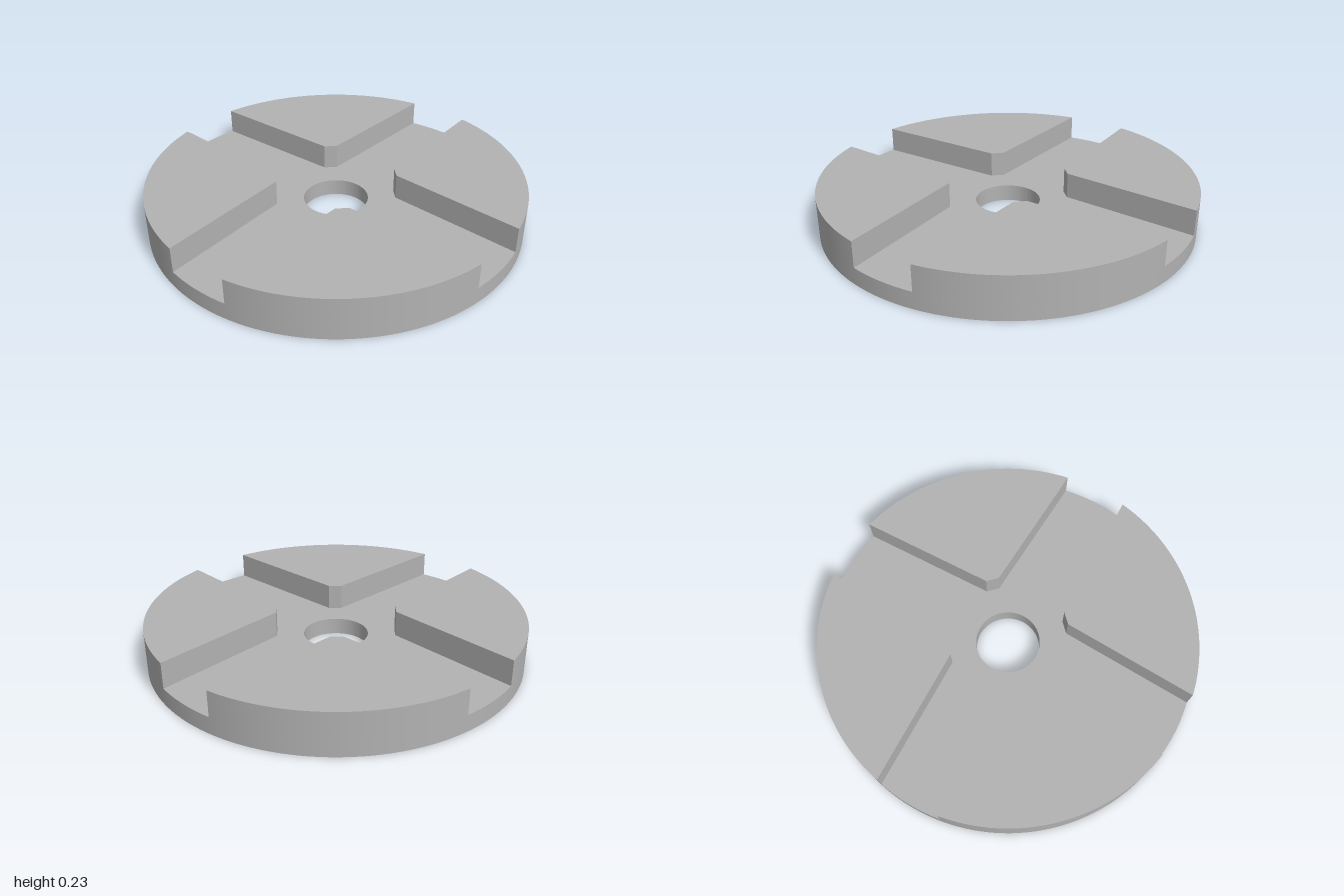
import * as THREE from 'three';
import { toCreasedNormals } from 'three/addons/utils/BufferGeometryUtils.js';

const RADIUS = 1;
const BASE_HEIGHT = 0.09;
const TOTAL_HEIGHT = 0.228;
const HOLE_RADIUS = 0.172;
const SLOT_HALF = 0.174; // half slot width at the rim

// Extrude a plan shape upwards, keeping curved walls smooth and edges sharp
function extrudeUp(shape, height, curveSegments) {
  const geometry = new THREE.ExtrudeGeometry(shape, { depth: height, bevelEnabled: false, curveSegments });
  geometry.rotateX(-Math.PI / 2);
  return toCreasedNormals(geometry, Math.PI / 6);
}

export function createModel() {
  const group = new THREE.Group();
  group.name = 'slottedDisc';
  const grey = new THREE.MeshStandardMaterial({ color: 0xb2b2b2 });
  grey.name = 'grey';

  // Round base plate with a central bore
  const plate = new THREE.Shape().absarc(0, 0, RADIUS, 0, Math.PI * 2, false);
  plate.holes.push(new THREE.Path().absarc(0, 0, HOLE_RADIUS, 0, Math.PI * 2, true));
  const base = new THREE.Mesh(extrudeUp(plate, BASE_HEIGHT, 128), grey);
  base.name = 'basePlate';
  group.add(base);

  // Four raised pads with chamfered inner corners and slightly flared slot walls
  const edge = Math.asin(SLOT_HALF / RADIUS);
  const sector = new THREE.Shape();
  sector.moveTo(0.25, 0.2);
  sector.lineTo(RADIUS * Math.cos(edge), SLOT_HALF);
  sector.absarc(0, 0, RADIUS, edge, Math.PI / 2 - edge, false);
  sector.lineTo(0.2, 0.25);
  sector.closePath();
  const padGeometry = extrudeUp(sector, TOTAL_HEIGHT - BASE_HEIGHT, 48);
  for (let i = 0; i < 4; i++) {
    const pad = new THREE.Mesh(padGeometry, grey);
    pad.name = `raisedPad${i + 1}`;
    pad.position.y = BASE_HEIGHT;
    pad.rotation.y = (i * Math.PI) / 2;
    group.add(pad);
  }
  return group;
}
